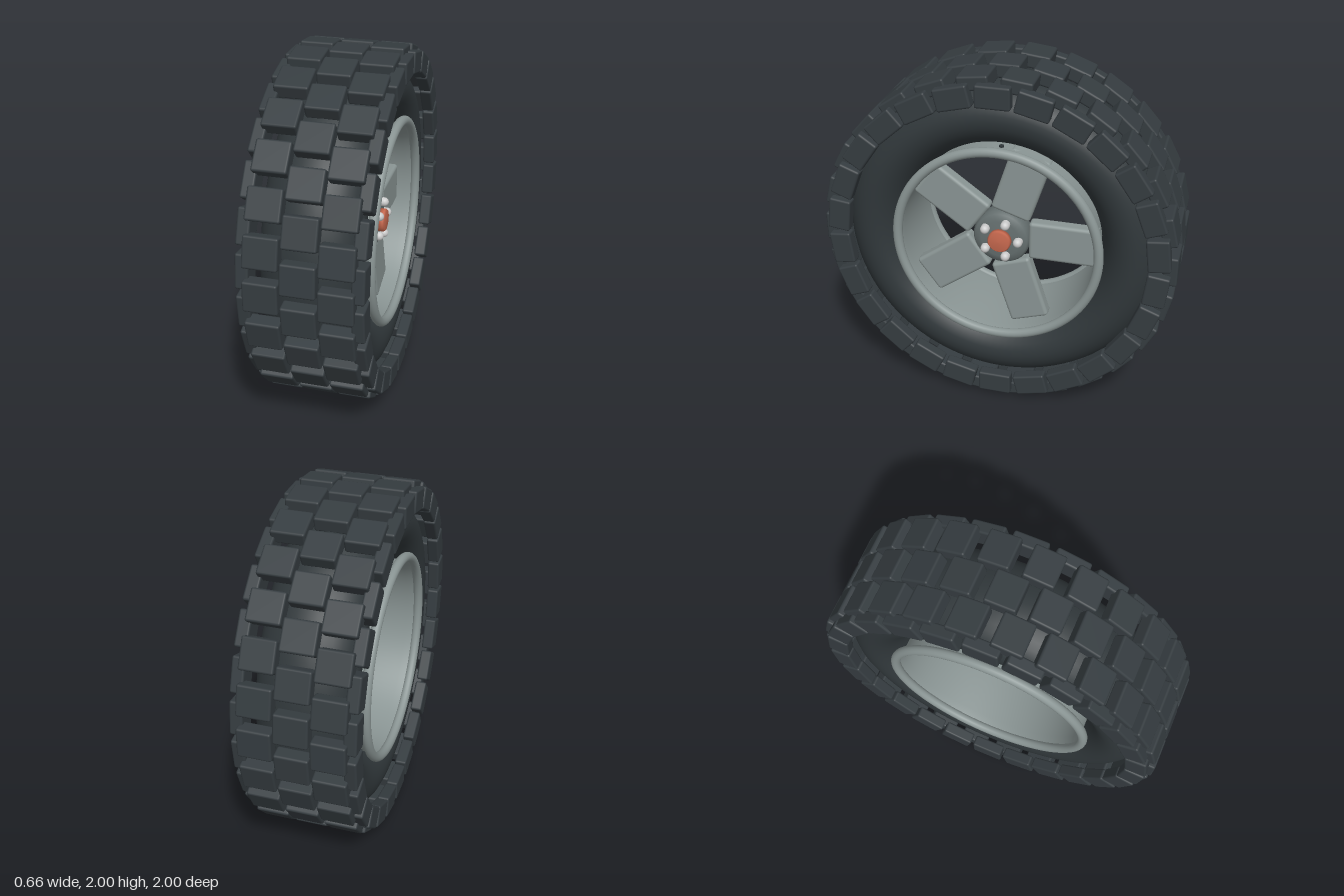
import * as THREE from 'three';
import { RoundedBoxGeometry } from 'three/addons/geometries/RoundedBoxGeometry.js';

const mat = (color, side = THREE.FrontSide) => new THREE.MeshStandardMaterial({ color, side });

export function createModel() {
  const rubber = mat(0x30373a);
  const tread = mat(0x353c40);
  const alloy = mat(0x8a9594, THREE.DoubleSide);
  const hubGrey = mat(0x667070);
  const steel = mat(0xc4c6c6);
  const copper = mat(0xc8694f);

  const model = new THREE.Group();
  model.name = 'wheel';
  const wheel = new THREE.Group();
  wheel.name = 'wheelAssembly';
  wheel.position.y = 1;
  model.add(wheel);

  const add = (parent, name, geometry, material) => {
    const mesh = new THREE.Mesh(geometry, material);
    mesh.name = name;
    parent.add(mesh);
    return mesh;
  };

  // Revolve a profile of [radius, x] points about the axle
  const revolve = (points, segments = 96) =>
    new THREE.LatheGeometry(points.map(([r, x]) => new THREE.Vector2(r, x)), segments).rotateZ(-Math.PI / 2);

  // Repeat a part around the axle; position is (x, radius)
  const ring = (name, count, phase, geometry, material, x, radius) => {
    const group = new THREE.Group();
    group.name = name + 'Ring';
    for (let i = 0; i < count; i++) {
      const arm = new THREE.Group();
      arm.rotation.x = phase + (i / count) * Math.PI * 2;
      add(arm, name, geometry, material).position.set(x, radius, 0);
      group.add(arm);
    }
    wheel.add(group);
  };

  // Tyre carcass: a torus widened along the axle
  add(wheel, 'tyreBody', new THREE.TorusGeometry(0.74, 0.19, 32, 96).rotateY(Math.PI / 2).scale(1.4, 1, 1), rubber);

  // Tread blocks: the centre row and side blocks are in step, the outer rows are staggered
  const count = 26;
  const half = Math.PI / count;
  const block = new RoundedBoxGeometry(0.185, 0.08, 0.17, 2, 0.012);
  const sideBlock = new RoundedBoxGeometry(0.07, 0.125, 0.19, 2, 0.012);
  ring('centreTreadBlock', count, 0, block, tread, 0, 0.957);
  for (const s of [-1, 1]) {
    ring('outerTreadBlock', count, half, block, tread, s * 0.193, 0.957);
    ring('sideTreadBlock', count, 0, sideBlock, tread, s * 0.296, 0.9);
  }

  // Rim barrel and rolled lips
  add(wheel, 'rimBarrel', revolve([[0.565, -0.27], [0.552, -0.2], [0.548, 0], [0.552, 0.2], [0.565, 0.27]]), alloy);
  for (const s of [-1, 1]) {
    const lip = add(wheel, 'rimLip', new THREE.TorusGeometry(0.572, 0.027, 16, 96).rotateY(Math.PI / 2), alloy);
    lip.position.x = s * 0.265;
  }

  // Five flat spokes, the first pointing to the rear
  const spokePhase = -Math.PI / 2;
  ring('spoke', 5, spokePhase, new RoundedBoxGeometry(0.08, 0.39, 0.23, 3, 0.02), alloy, 0.12, 0.352);

  // Hub with chamfered faces
  add(wheel, 'hub', revolve([[0, 0.05], [0.14, 0.05], [0.163, 0.075], [0.163, 0.145], [0.15, 0.165], [0.11, 0.178], [0, 0.185]], 40), hubGrey);

  // Wheel nuts and centre cap
  ring('wheelNut', 5, spokePhase, new THREE.CapsuleGeometry(0.026, 0.03, 6, 16).rotateZ(Math.PI / 2), steel, 0.18, 0.104);
  add(wheel, 'centreCap', revolve([[0, 0.17], [0.066, 0.17], [0.066, 0.207], [0.058, 0.217], [0, 0.219]], 32), copper);

  // Valve stem
  const valve = add(wheel, 'valveStem', new THREE.CylinderGeometry(0.014, 0.01, 0.04, 12), rubber);
  valve.position.set(0.14, 0.54, 0);

  return model;
}
